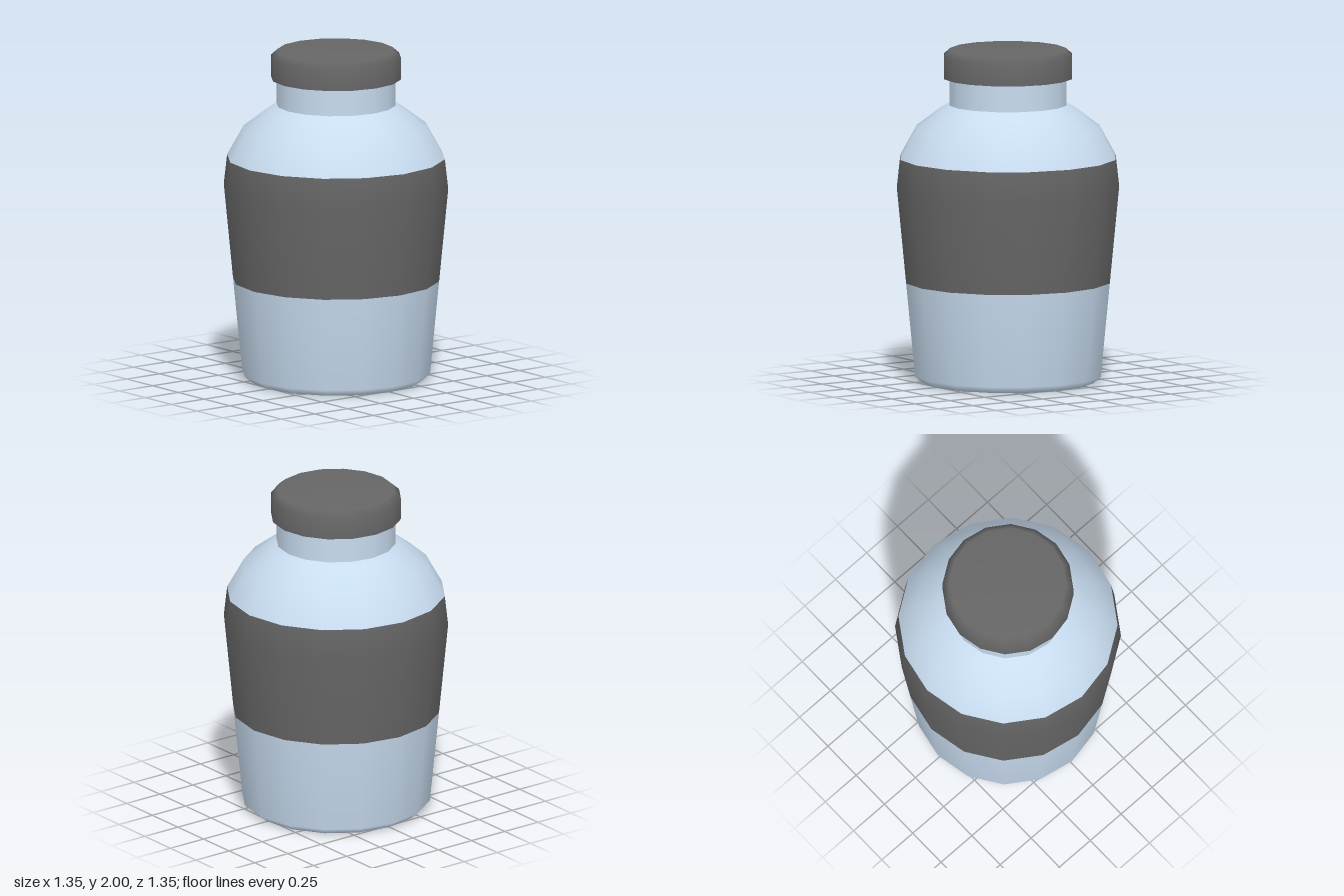
import * as THREE from 'three';

const SIDES = 16;
const glass = new THREE.MeshStandardMaterial({ color: 0xc8dcf0 });
const dark = new THREE.MeshStandardMaterial({ color: 0x666666 });

// Revolve a [radius, height] profile, listed from bottom to top
function turned(name, profile, material) {
  const points = profile.map(([r, y]) => new THREE.Vector2(r, y));
  const mesh = new THREE.Mesh(new THREE.LatheGeometry(points, SIDES), material);
  mesh.name = name;
  return mesh;
}

export function createModel() {
  const jar = new THREE.Group();
  jar.name = 'jar';

  jar.add(
    // Closed base with a small bevel, flaring up to the label
    turned('lowerBody', [[0, 0], [0.52, 0], [0.565, 0.04], [0.62, 0.605]], glass),
    // Wide band flush with the body
    turned('labelBand', [[0.62, 0.605], [0.675, 1.17], [0.655, 1.35]], dark),
    // Rounded shoulder
    turned('shoulder', [[0.655, 1.35], [0.555, 1.53], [0.41, 1.64], [0.357, 1.67]], glass),
    // Straight neck running into the cap
    turned('neck', [[0.357, 1.67], [0.357, 1.85]], glass),
    // Cap with bevelled rim, and its flat underside
    turned('cap', [[0.39, 1.83], [0.39, 1.965], [0.35, 2], [0, 2]], dark),
    turned('capUnderside', [[0.34, 1.83], [0.39, 1.83]], dark)
  );
  return jar;
}
